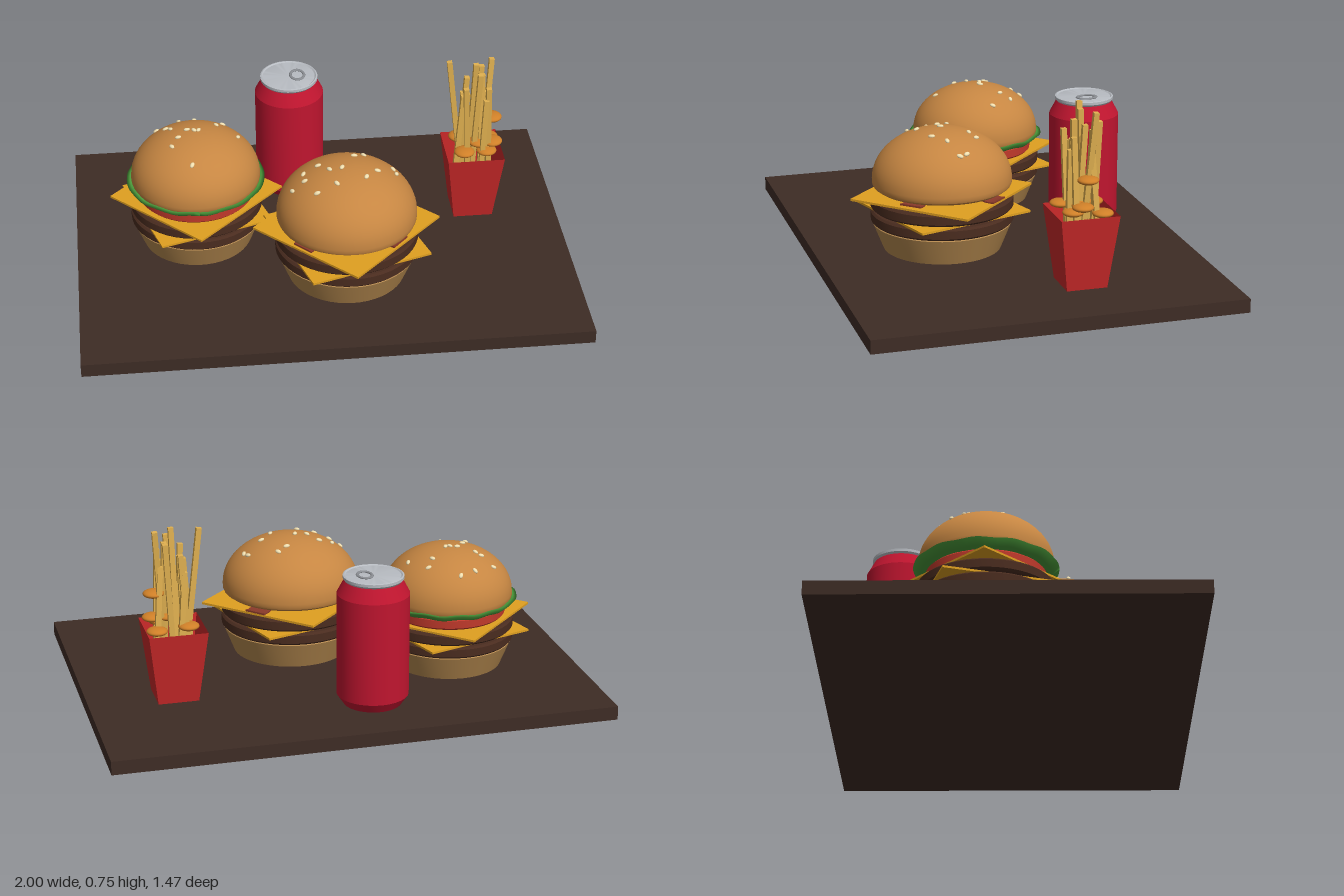
import * as THREE from 'three';
import { toCreasedNormals } from 'three/addons/utils/BufferGeometryUtils.js';

const mat = (color, extra = {}) => new THREE.MeshStandardMaterial({ color, ...extra });
const M = {
  tray: mat(0x3e2c25), bun: mat(0xc68642), base: mat(0xb5894f), patty: mat(0x4a2c1f),
  cheese: mat(0xe0a020), bacon: mat(0x8a3a2a), tomato: mat(0xc0392b),
  lettuce: mat(0x4a9a3a, { side: THREE.DoubleSide }), seed: mat(0xf0dfb0),
  can: mat(0xc0152f), metal: mat(0xb8bcc2), tab: mat(0x8a8d92),
  carton: mat(0xc62828, { side: THREE.DoubleSide, flatShading: true }),
  fry: mat(0xe0b050), nugget: mat(0xd08028),
};

function add(parent, name, geometry, material, x = 0, y = 0, z = 0) {
  const mesh = new THREE.Mesh(geometry, material);
  mesh.name = name;
  mesh.position.set(x, y, z);
  parent.add(mesh);
  return mesh;
}

// Turned part from [radius, height] pairs, keeping hard edges
const turned = (points, crease = 0.55) => toCreasedNormals(
  new THREE.LatheGeometry(points.map(([r, y]) => new THREE.Vector2(r, y)), 48), crease);

// Short round slab with softened rims
const slab = (r, h) => turned([[0, 0], [r - 0.008, 0], [r, 0.008], [r, h - 0.008], [r - 0.008, h], [0, h]]);

// Bun dome: half-ellipse above a short lip
const DOME = { r: 0.28, lip: 0.033, h: 0.205 };
function domeGeometry() {
  const pts = [[0, 0], [0.262, 0], [0.276, 0.01], [DOME.r, 0.02]];
  for (let i = 0; i <= 16; i++) {
    const a = (i / 16) * Math.PI / 2;
    pts.push([i === 16 ? 0 : DOME.r * Math.cos(a), DOME.lip + DOME.h * Math.sin(a)]);
  }
  return turned(pts);
}

// Wavy strip
function baconGeometry() {
  const g = new THREE.BoxGeometry(0.53, 0.007, 0.09, 28, 1, 2);
  const p = g.attributes.position;
  for (let i = 0; i < p.count; i++) p.setY(i, p.getY(i) + 0.008 * Math.sin(p.getX(i) * 45));
  g.computeVertexNormals();
  return g;
}

// Frilled leaf disc, its rim turned up and rippled
function lettuceGeometry() {
  const g = new THREE.LatheGeometry([[0, 0], [0.2, 0], [0.27, 0.006], [0.3, 0.03], [0.285, 0.034], [0.25, 0.02]]
    .map(([r, y]) => new THREE.Vector2(r, y)), 72);
  const p = g.attributes.position;
  for (let i = 0; i < p.count; i++) {
    const x = p.getX(i), z = p.getZ(i), r = Math.hypot(x, z);
    if (r > 0.22) p.setY(i, p.getY(i) + 0.003 * Math.sin(Math.atan2(z, x) * 12));
  }
  g.computeVertexNormals();
  return g;
}

function burger(name, seeds, withSalad) {
  const g = new THREE.Group();
  g.name = name;
  add(g, 'bottomBun', turned([[0, 0], [0.237, 0], [0.28, 0.108], [0.276, 0.112], [0, 0.112]]), M.base);
  // Two patties, each under a turned square of cheese
  [[0.112, 0.049, 0.36, Math.PI / 4 - 0.48], [0.17, 0.05, 0.375, Math.PI / 4]].forEach(([y, h, r, turn]) => {
    add(g, 'patty', slab(0.287, h), M.patty, 0, y, 0);
    const side = r * Math.SQRT2;
    add(g, 'cheeseSlice', new THREE.BoxGeometry(side, 0.009, side), M.cheese, 0, y + h + 0.004, 0).rotation.y = turn;
  });
  if (withSalad) {
    add(g, 'tomatoSlice', slab(0.25, 0.05), M.tomato, 0, 0.229, 0);
    add(g, 'lettuce', lettuceGeometry(), M.lettuce, 0, 0.275, 0);
  } else {
    [0.75, -0.75].forEach((turn, i) => {
      add(g, 'baconStrip', baconGeometry(), M.bacon, 0, 0.237 + i * 0.01, 0).rotation.y = turn;
    });
  }
  // Top bun with seeds lying on its surface
  const top = new THREE.Group();
  top.name = 'topBun';
  top.position.y = withSalad ? 0.292 : 0.252;
  g.add(top);
  add(top, 'bunDome', domeGeometry(), M.bun);
  const up = new THREE.Vector3(0, 1, 0);
  const seedGeo = new THREE.SphereGeometry(1, 12, 8).scale(0.014, 0.007, 0.009);
  seeds.forEach(([x, z], i) => {
    const k = Math.sqrt(1 - (x * x + z * z) / DOME.r ** 2);
    const seed = add(top, 'sesameSeed', seedGeo, M.seed, x, DOME.lip + DOME.h * k + 0.002, z);
    const normal = new THREE.Vector3(x / DOME.r ** 2, k / DOME.h, z / DOME.r ** 2).normalize();
    seed.quaternion.setFromUnitVectors(up, normal)
      .multiply(new THREE.Quaternion().setFromAxisAngle(up, i * 2.1));
  });
  return g;
}

function drinkCan() {
  const g = new THREE.Group();
  g.name = 'drinkCan';
  add(g, 'canBody', turned([[0, 0], [0.115, 0], [0.142, 0.04], [0.142, 0.455], [0.113, 0.51], [0, 0.51]], 0.4), M.can);
  add(g, 'canLid', turned([[0, 0.508], [0.112, 0.508], [0.119, 0.517], [0.119, 0.528], [0.113, 0.53], [0.108, 0.526], [0, 0.526]]), M.metal);
  const tab = new THREE.TorusGeometry(0.028, 0.006, 8, 32).rotateX(Math.PI / 2).scale(1, 0.6, 1.35);
  add(g, 'pullTab', tab, M.tab, 0.035, 0.53, 0);
  return g;
}

function friesBox() {
  const g = new THREE.Group();
  g.name = 'friesBox';
  const carton = new THREE.CylinderGeometry(0.117 * Math.SQRT2, 0.081 * Math.SQRT2, 0.295, 4, 1, true)
    .rotateY(Math.PI / 4).translate(0, 0.1475, 0);
  add(g, 'carton', carton, M.carton);
  // Fries: x, z at the carton's mouth, lean in x and z, tip height
  const fries = [
    [-0.06, -0.02, -0.045, 0, 0.695], [0.045, 0.0, 0.025, -0.03, 0.695], [0.0, 0.03, 0.015, 0.01, 0.66],
    [0.015, -0.045, 0.02, -0.01, 0.65], [-0.03, 0.05, -0.015, 0.01, 0.61], [0.06, 0.04, -0.01, 0.01, 0.6],
    [-0.01, -0.01, 0.01, 0.02, 0.695], [-0.045, -0.05, 0.02, 0, 0.6], [0.07, -0.04, -0.02, 0.02, 0.55],
    [-0.07, 0.03, 0.02, 0, 0.56], [0.03, 0.06, 0.01, 0, 0.55], [-0.02, -0.06, -0.02, 0.01, 0.53],
    [0.03, 0.02, 0, -0.02, 0.64], [-0.045, 0.01, 0.01, 0.02, 0.57],
  ];
  const up = new THREE.Vector3(0, 1, 0);
  fries.forEach(([x, z, dx, dz, tip]) => {
    const a = new THREE.Vector3(x - dx * 0.5, 0.12, z - dz * 0.5);
    const b = new THREE.Vector3(x + dx, tip, z + dz);
    const dir = b.clone().sub(a);
    const fry = add(g, 'fry', new THREE.BoxGeometry(0.021, dir.length(), 0.021), M.fry);
    fry.position.copy(a).add(b).multiplyScalar(0.5);
    fry.quaternion.setFromUnitVectors(up, dir.normalize());
  });
  // Flat crisp bites among the fries
  const bite = new THREE.SphereGeometry(1, 20, 12).scale(0.042, 0.016, 0.042);
  [[0.075, 0.435, 0], [0.078, 0.33, 0.02], [-0.045, 0.315, 0.07], [0.02, 0.33, 0.02],
    [0.075, 0.3, -0.06], [-0.05, 0.31, -0.06], [0.05, 0.305, 0.05]]
    .forEach(([x, y, z]) => add(g, 'crispBite', bite, M.nugget, x, y, z));
  return g;
}

export function createModel() {
  const model = new THREE.Group();
  model.name = 'fastFoodTray';
  const TOP = 0.055;
  add(model, 'tray', new THREE.BoxGeometry(2, TOP, 1.47), M.tray, 0, TOP / 2, 0);

  const baconBurger = burger('baconBurger', [
    [-0.17, 0.02], [-0.22, 0.03], [-0.17, -0.03], [-0.11, -0.05], [-0.07, 0], [-0.02, 0], [-0.13, 0.11],
    [-0.05, 0.09], [0.07, 0.06], [0.12, 0.01], [0.19, -0.05], [0.2, -0.02], [0.04, -0.1], [0.08, -0.12]], false);
  baconBurger.position.set(0.08, TOP, 0.217);

  const saladBurger = burger('saladBurger', [
    [-0.16, -0.14], [-0.06, -0.19], [0.01, -0.21], [0.13, -0.13], [0.1, -0.09], [0.19, -0.03], [-0.03, -0.03],
    [0, -0.02], [0.02, -0.02], [-0.07, 0.02], [-0.1, 0.07], [-0.02, 0.18], [-0.12, -0.09], [-0.1, -0.07]], true);
  saladBurger.position.set(-0.503, TOP, -0.087);
  saladBurger.scale.setScalar(0.935);

  const can = drinkCan();
  can.position.set(-0.088, TOP, -0.435);

  const fries = friesBox();
  fries.position.set(0.65, TOP, -0.177);

  model.add(baconBurger, saladBurger, can, fries);
  return model;
}
